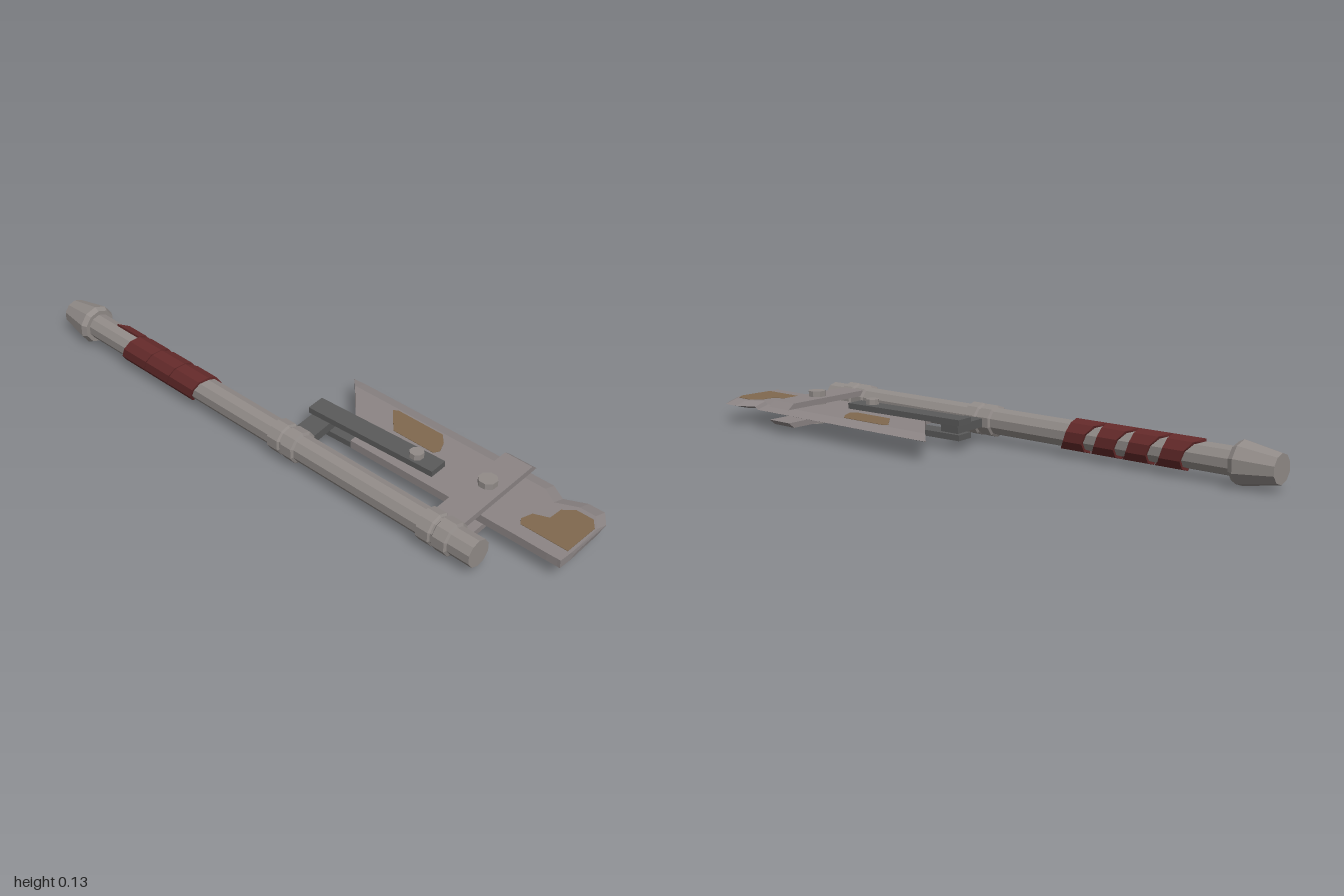
import * as THREE from 'three';

const mat = (name, color) => {
  const m = new THREE.MeshStandardMaterial({ color });
  m.name = name;
  return m;
};

// faceted normals
function facet(geo) {
  const g = geo.index ? geo.toNonIndexed() : geo;
  g.computeVertexNormals();
  return g;
}

// joins convex cross-sections (arrays of [x, y, z]) into a closed solid
function loft(rings) {
  const pos = [];
  const tri = (a, b, c) => pos.push(...a, ...b, ...c);
  const n = rings[0].length;
  for (let i = 0; i < rings.length - 1; i++) {
    for (let j = 0; j < n; j++) {
      const k = (j + 1) % n;
      tri(rings[i][j], rings[i][k], rings[i + 1][k]);
      tri(rings[i][j], rings[i + 1][k], rings[i + 1][j]);
    }
  }
  const first = rings[0], last = rings[rings.length - 1];
  for (let k = 1; k < n - 1; k++) {
    tri(first[0], first[k + 1], first[k]);
    tri(last[0], last[k], last[k + 1]);
  }
  const g = new THREE.BufferGeometry();
  g.setAttribute('position', new THREE.Float32BufferAttribute(pos, 3));
  return facet(g);
}

// flat plate outlined in x,z between two heights
function plate(points, y0, y1) {
  const shape = new THREE.Shape(points.map(([x, z]) => new THREE.Vector2(x, -z)));
  const g = new THREE.ExtrudeGeometry(shape, { depth: y1 - y0, bevelEnabled: false });
  return facet(g.rotateX(-Math.PI / 2).translate(0, y0, 0));
}

const AX = -0.168, MID = 0.068, BLADE_Y = 0.066;

// ten-sided turned part along z; profile is [radius, z]
function turned(profile) {
  const g = new THREE.LatheGeometry(profile.map(([r, z]) => new THREE.Vector2(r, z)), 10);
  return facet(g.rotateX(Math.PI / 2).translate(AX, MID, 0));
}

export function createModel() {
  const model = new THREE.Group();
  const steel = mat('shaft steel', 0x918b88);
  const bladeSteel = mat('blade steel', 0x8c8585);
  const darkIron = mat('dark iron', 0x5a5a5a);
  const cloth = mat('red cloth', 0x642a2a);
  const rust = mat('rust', 0x80694f);
  const add = (name, geo, material) => {
    const m = new THREE.Mesh(geo, material);
    m.name = name;
    model.add(m);
  };

  // handle with flared pommel and two double collars
  add('shaft', turned([[0, -0.9], [0.044, -0.9], [0.044, 0.82], [0, 0.82]]), steel);
  add('pommel', turned([[0, -1], [0.045, -1], [0.067, -0.88], [0.058, -0.862], [0.044, -0.862]]), steel);
  for (const z of [0.03, 0.63]) {
    const profile = [[0.043, 0], [0.052, 0.005], [0.052, 0.048], [0.046, 0.053],
      [0.046, 0.06], [0.053, 0.065], [0.053, 0.108], [0.043, 0.113]];
    add('collar', turned(profile.map(([r, dz]) => [r, z + dz])), steel);
  }

  // cloth strip wound around the grip, narrower on one side so gaps open up
  const wrap = [];
  for (let k = 0; k <= 35; k++) {
    const a = Math.PI / 2 - k * Math.PI / 5;
    const z = -0.70 + 0.118 * k / 10;
    const half = 0.057 - 0.022 * Math.max(0, Math.cos(a));
    const at = (r, s) => [AX + r * Math.cos(a), MID + r * Math.sin(a), z + s * half];
    wrap.push([at(0.043, -1), at(0.052, -1), at(0.052, 1), at(0.043, 1)]);
  }
  add('gripWrap', loft(wrap), cloth);

  // blade: [z, back edge, bevel start, cutting edge, half thickness]
  const T = 0.013;
  const stations = [
    [-0.015, 0.215, 0.216, 0.218, 0.001], [0.03, 0.172, 0.177, 0.221, T],
    [0.16, 0.04, 0.178, 0.222, T], [0.22, -0.025, 0.178, 0.222, T],
    [0.225, -0.05, 0.178, 0.222, T], [0.78, -0.047, 0.178, 0.222, T],
    [0.835, -0.046, 0.145, 0.19, T], [0.9, -0.046, 0.178, 0.224, T],
    [0.955, -0.046, 0.178, 0.224, T], [0.99, -0.045, 0.135, 0.18, T],
    [1, -0.045, 0.0, 0.02, T],
  ];
  add('blade', loft(stations.map(([z, l, b, r, h]) => [
    [l, BLADE_Y - h, z], [b, BLADE_Y - h, z], [r, BLADE_Y, z],
    [b, BLADE_Y + h, z], [l, BLADE_Y + h, z],
  ])), bladeSteel);

  // rust patches lying on both faces of the blade
  const patches = [
    [[0.08, 0.28], [0.16, 0.205], [0.17, 0.22], [0.17, 0.4], [0.14, 0.43], [0.1, 0.45], [0.08, 0.44]],
    [[0, 0.83], [0.02, 0.815], [0.06, 0.825], [0.08, 0.87], [0.13, 0.87], [0.16, 0.9],
      [0.16, 0.96], [0.13, 0.985], [0, 0.99]],
  ];
  for (const p of patches) {
    for (const s of [-1, 1]) {
      const y = BLADE_Y + s * (T + 0.0005);
      add('rustPatch', plate(p, y - 0.001, y + 0.001), rust);
    }
  }

  // front straps above and below the blade, slanted slightly
  for (const s of [-1, 1]) {
    const y = (d) => 0.0645 + s * d;
    const shape = new THREE.Shape([[-0.15, 0.022], [0.23, 0.022], [0.205, 0.041], [-0.15, 0.041]]
      .map(([x, d]) => new THREE.Vector2(x, y(d))));
    const g = new THREE.ExtrudeGeometry(shape, { depth: 0.1, bevelEnabled: false });
    const p = g.attributes.position;
    for (let i = 0; i < p.count; i++) p.setZ(i, p.getZ(i) + 0.638 - 0.085 * (p.getX(i) + 0.13));
    add('strap', facet(g), bladeSteel);
  }

  // rear bracket: connector from the collar and two long arms gripping the blade
  add('connector', plate([[-0.14, 0.062], [0.02, 0.036], [0.02, 0.11], [-0.14, 0.138]], 0.053, 0.081), darkIron);
  const arm = [[-0.037, 0.032], [0.03, 0.022], [0.052, 0.51], [-0.015, 0.517]];
  add('upperArm', plate(arm, 0.081, 0.1), darkIron);
  add('lowerArm', plate(arm, 0.033, 0.052), darkIron);

  // bolts through blade and brackets
  for (const [x, z, r, y0, y1] of [[0.05, 0.67, 0.03, 0.013, 0.125], [0.011, 0.435, 0.023, 0.02, 0.118]]) {
    const g = new THREE.CylinderGeometry(r, r, y1 - y0, 8).rotateY(Math.PI / 8);
    add('bolt', facet(g.translate(x, (y0 + y1) / 2, z)), steel);
  }
  return model;
}
